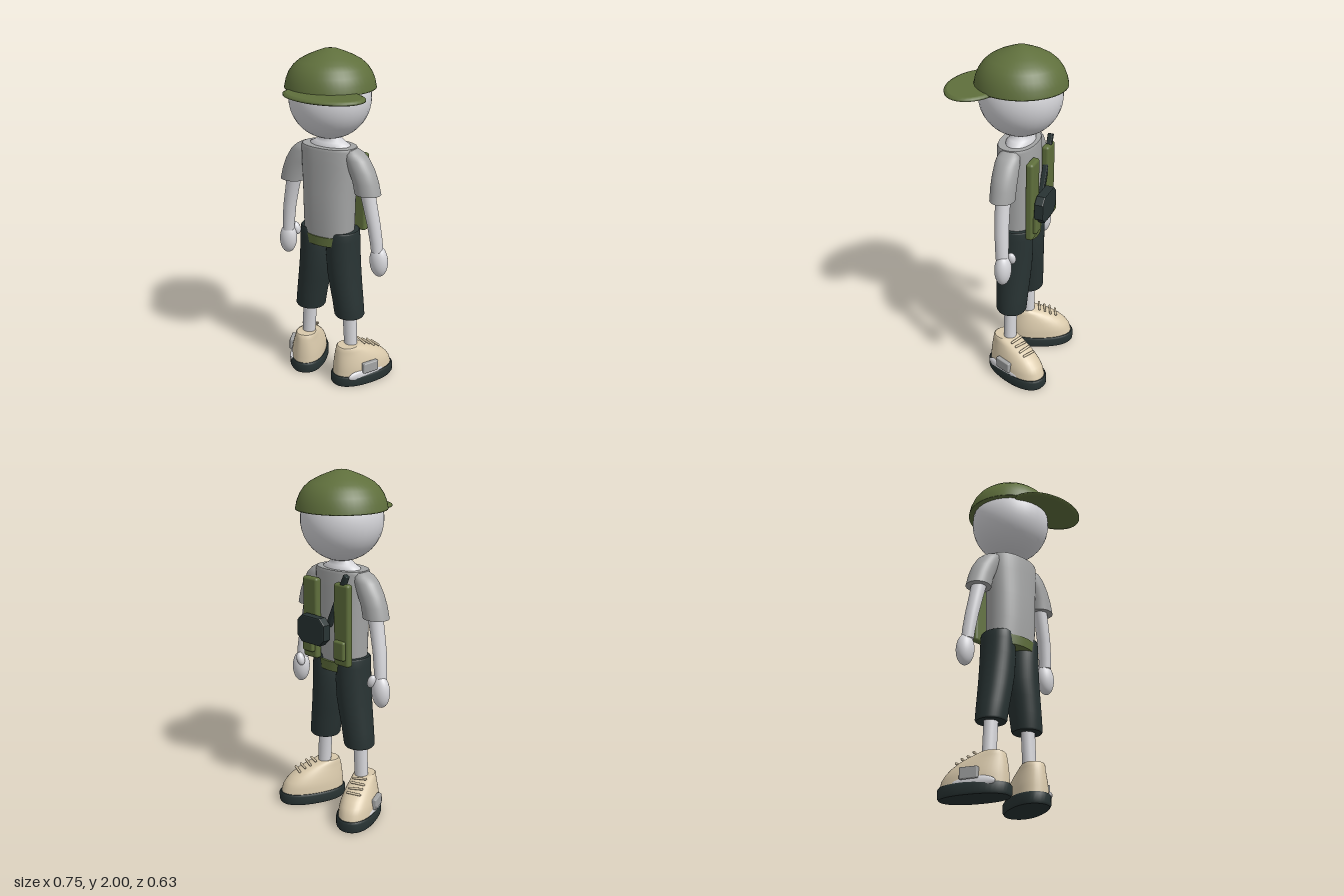
import * as THREE from 'three';
import { RoundedBoxGeometry } from 'three/addons/geometries/RoundedBoxGeometry.js';

const mat = (name, color) => {
  const m = new THREE.MeshStandardMaterial({ color });
  m.name = name;
  return m;
};

// Closed loft through horizontal rings [x, y, z, rx, rz], listed bottom to top
function loft(rings, power = 2, n = 40) {
  const pos = [], idx = [];
  const e = 2 / power;
  const ringPoints = ([x, y, z, rx, rz]) => {
    for (let j = 0; j < n; j++) {
      const c = Math.cos(j / n * Math.PI * 2), s = Math.sin(j / n * Math.PI * 2);
      pos.push(x + rx * Math.sign(c) * Math.abs(c) ** e, y, z + rz * Math.sign(s) * Math.abs(s) ** e);
    }
  };
  rings.forEach(ringPoints);
  for (let i = 0; i < rings.length - 1; i++) {
    for (let j = 0; j < n; j++) {
      const a = i * n + j, b = i * n + (j + 1) % n;
      idx.push(a, a + n, b, b, a + n, b + n);
    }
  }
  // End caps with their own vertices keep the rims sharp
  for (const top of [false, true]) {
    const r = top ? rings[rings.length - 1] : rings[0];
    const start = pos.length / 3;
    ringPoints(r);
    pos.push(r[0], r[1], r[2]);
    for (let j = 0; j < n; j++) {
      const a = start + j, b = start + (j + 1) % n;
      idx.push(start + n, ...(top ? [b, a] : [a, b]));
    }
  }
  const g = new THREE.BufferGeometry();
  g.setAttribute('position', new THREE.Float32BufferAttribute(pos, 3));
  g.setIndex(idx);
  g.computeVertexNormals();
  return g;
}

export function createModel() {
  const model = new THREE.Group();
  model.name = 'figure';
  const skin = mat('paleSkin', 0xd6d6da);
  const shirt = mat('greyShirt', 0xa3a4a4);
  const green = mat('oliveGreen', 0x5f6f3c);
  const dark = mat('darkSlate', 0x283333);
  const cream = mat('creamLeather', 0xd9c9ab);

  const add = (name, geometry, material, parent = model) => {
    const m = new THREE.Mesh(geometry, material);
    m.name = name;
    parent.add(m);
    return m;
  };
  const ball = (name, r, p, material, parent = model) => {
    const m = add(name, new THREE.SphereGeometry(1, 32, 24), material, parent);
    m.scale.set(...r);
    m.position.set(...p);
    return m;
  };
  const box = (name, size, p, radius, material, parent = model) => {
    const m = add(name, new RoundedBoxGeometry(...size, 3, radius), material, parent);
    m.position.set(...p);
    return m;
  };

  // Head, neck and cap
  ball('head', [0.232, 0.232, 0.232], [0, 1.73, -0.052], skin);
  add('neck', loft([
    [0, 1.43, -0.055, 0.13, 0.08], [0, 1.465, -0.055, 0.125, 0.075],
    [0, 1.482, -0.057, 0.09, 0.062], [0, 1.5, -0.058, 0.065, 0.056], [0, 1.54, -0.058, 0.06, 0.055],
  ]), skin);
  const capProfile = [[0, 1.79], [0.255, 1.787], [0.255, 1.792], [0.247, 1.83], [0.231, 1.87], [0.207, 1.905],
    [0.175, 1.933], [0.13, 1.958], [0.085, 1.977], [0.04, 1.994], [0, 2]];
  const cap = add('capCrown', new THREE.LatheGeometry(capProfile.map(p => new THREE.Vector2(...p)), 48), green);
  cap.position.z = -0.055;
  add('capBrim', loft([
    [0.1, 1.773, 0.16, 0.225, 0.14], [0.1, 1.779, 0.16, 0.243, 0.156],
    [0.1, 1.789, 0.16, 0.243, 0.156], [0.1, 1.796, 0.16, 0.225, 0.14],
  ]), green);

  // Shirt and belt
  add('shirtBody', loft([
    [0, 0.91, -0.048, 0.152, 0.108], [0, 1.05, -0.048, 0.155, 0.116],
    [0, 1.2, -0.048, 0.159, 0.116], [0, 1.36, -0.048, 0.168, 0.112],
    [0, 1.445, -0.048, 0.172, 0.11], [0, 1.46, -0.048, 0.165, 0.105],
  ], 2.3), shirt);
  add('belt', loft([[0, 0.878, -0.052, 0.16, 0.116], [0, 0.935, -0.052, 0.165, 0.12]]), green);

  for (const s of [1, -1]) {
    const side = s > 0 ? 'left' : 'right';
    const limb = (name, rings, material, power) =>
      add(side + name, loft(rings.map(([x, ...r]) => [s * x, ...r]), power), material);

    // Sleeve, arm and hand
    limb('Sleeve', [
      [0.256, 1.212, -0.05, 0.077, 0.07], [0.24, 1.28, -0.05, 0.075, 0.071],
      [0.215, 1.34, -0.05, 0.077, 0.071], [0.182, 1.405, -0.05, 0.07, 0.068],
      [0.165, 1.435, -0.05, 0.053, 0.06], [0.155, 1.455, -0.05, 0.025, 0.04],
    ], shirt);
    limb('Arm', [
      [0.312, 0.87, -0.07, 0.034, 0.036], [0.307, 0.93, -0.067, 0.036, 0.038],
      [0.293, 1.03, -0.06, 0.038, 0.04], [0.272, 1.13, -0.055, 0.041, 0.041], [0.25, 1.23, -0.052, 0.045, 0.043],
    ], skin);
    const hand = ball(side + 'Hand', [0.055, 0.094, 0.047], [s * 0.32, 0.808, -0.078], skin);
    hand.rotation.z = s * 0.06;
    const thumb = ball(side + 'Thumb', [0.023, 0.04, 0.025], [s * 0.285, 0.868, -0.115], skin);
    thumb.rotation.z = -s * 0.35;

    // Shorts and shin
    limb('ShortsLeg', [
      [0.139, 0.425, -0.056, 0.084, 0.082], [0.139, 0.435, -0.056, 0.09, 0.088],
      [0.128, 0.52, -0.056, 0.092, 0.093], [0.112, 0.62, -0.056, 0.096, 0.099],
      [0.099, 0.71, -0.057, 0.1, 0.103], [0.092, 0.82, -0.057, 0.098, 0.107],
      [0.093, 0.91, -0.057, 0.093, 0.107], [0.097, 0.955, -0.057, 0.086, 0.104], [0.098, 0.962, -0.057, 0.08, 0.098],
    ], dark);
    limb('Shin', [[0.155, 0.2, -0.052, 0.04, 0.038], [0.142, 0.45, -0.052, 0.044, 0.036]], skin);

    // Shoe, pointing to local -z and turned outward
    const shoe = new THREE.Group();
    shoe.name = side + 'Shoe';
    shoe.position.set(s * 0.195, 0, -0.117);
    shoe.rotation.y = -s * 0.42;
    model.add(shoe);
    add('sole', loft([
      [0, 0, 0, 0.106, 0.2], [0, 0.012, 0, 0.114, 0.208], [0, 0.055, 0, 0.114, 0.208], [0, 0.066, 0, 0.107, 0.2],
    ], 2.25), dark, shoe);
    // Each row: height, heel end, toe end, half width
    const upper = [[0.06, -0.196, 0.196, 0.103], [0.1, -0.194, 0.186, 0.101], [0.13, -0.192, 0.166, 0.096],
      [0.16, -0.189, 0.135, 0.088], [0.19, -0.185, 0.09, 0.079], [0.215, -0.18, 0.035, 0.07], [0.235, -0.174, -0.025, 0.065],
      [0.242, -0.166, -0.045, 0.058]];
    add('upper', loft(upper.map(([y, heel, toe, w]) => [0, y, -(heel + toe) / 2, w, (toe - heel) / 2]), 2.25), cream, shoe);
    for (let i = 0; i < 4; i++) {
      const lace = add('lace', new THREE.CapsuleGeometry(0.007, 0.075, 4, 10), cream, shoe);
      lace.position.set(0, 0.243 - i * 0.016, 0.008 - i * 0.034);
      lace.rotation.z = Math.PI / 2 + (i % 2 ? 0.06 : -0.06);
    }
    ball('sidePanel', [0.02, 0.036, 0.125], [s * 0.088, 0.066, 0.03], skin, shoe);
    box('sideBadge', [0.028, 0.065, 0.105], [s * 0.104, 0.113, 0.012], 0.006, shirt, shoe);

    // Vest panel with a small pouch
    box(side + 'VestPanel', [0.112, 0.47, 0.045], [s * 0.122, 1.17, -0.172], 0.016, green);
    box(side + 'VestPouch', [0.082, 0.11, 0.035], [s * 0.122, 1.03, -0.198], 0.012, green);
  }

  // Pack with clipped corners, and its strap
  const w = 0.1, h = 0.073, c = 0.032;
  const outline = [[-w + c, -h], [w - c, -h], [w, -h + c], [w, h - c], [w - c, h], [-w + c, h], [-w, h - c], [-w, -h + c]];
  const pack = add('pack', new THREE.ExtrudeGeometry(new THREE.Shape(outline.map(p => new THREE.Vector2(...p))),
    { depth: 0.04, bevelEnabled: true, bevelThickness: 0.007, bevelSize: 0.007, bevelSegments: 2 }), dark);
  pack.position.set(0.058, 1.12, -0.245);
  const strap = box('packStrap', [0.03, 0.34, 0.03], [-0.083, 1.3, -0.175], 0.006, dark);
  strap.rotation.z = 0.42;

  return model;
}
